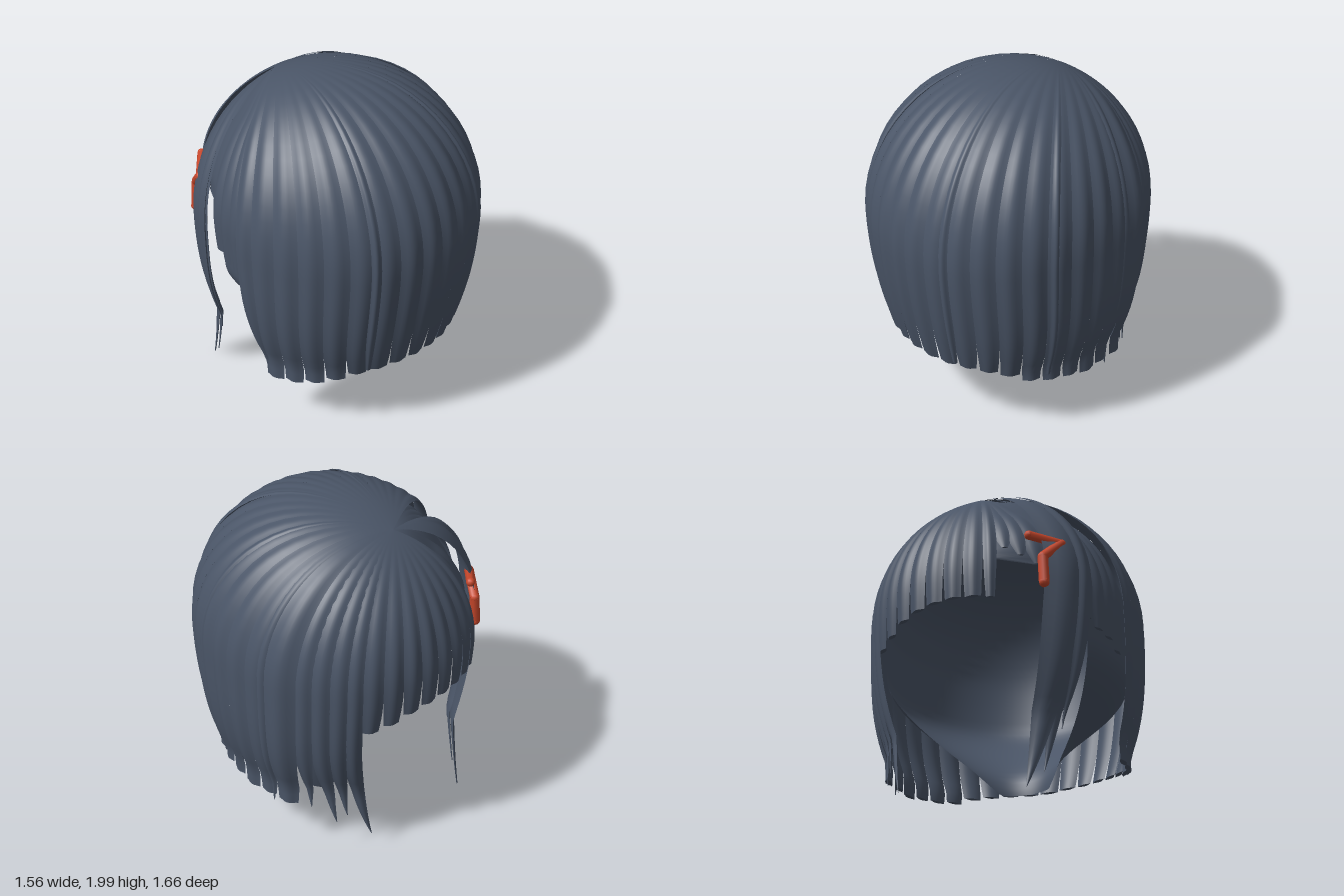
import * as THREE from 'three';
import { mergeGeometries } from 'three/addons/utils/BufferGeometryUtils.js';

const RX = 0.768, RY = 0.793, RZ = 0.818, MID = 1.2, CROWN_Z = -0.4;
const rad = THREE.MathUtils.degToRad;
const { clamp, lerp, smoothstep } = THREE.MathUtils;

let seed = 7;
const jitter = (amount) => {
  seed = (seed * 16807) % 2147483647;
  return (seed / 2147483647 - 0.5) * 2 * amount;
};

// Point on the hair shell. deg: 0 = +z, 90 = +x. s: 0 = crown, 1 = widest ring, then straight down.
function shell(deg, s, offset) {
  const a = rad(deg), p = new THREE.Vector3();
  const ex = RX * Math.sin(a), ez = RZ * Math.cos(a);
  if (s < 1) {
    const k = Math.sin(s * Math.PI / 2);
    p.set(ex * k, 0, lerp(CROWN_Z, ez, k));
    const rho = Math.hypot(p.x / RX, p.z / RZ);
    p.y = MID + RY * Math.sqrt(Math.max(0, 1 - rho ** 2.15));
  } else {
    const d = clamp((s - 1) / 0.75, 0, 1);
    p.set(ex * (1 - 0.13 * d ** 3), MID - (s - 1), ez * (1 - 0.15 * d ** 1.7));
  }
  const n = new THREE.Vector3(p.x / RX ** 2, Math.max(0, p.y - MID) / RY ** 2, p.z / RZ ** 2);
  return p.addScaledVector(n.normalize(), offset);
}

// Surface from a rule: fn(u, v) with u and v in 0..1
function grid(fn, nu, nv) {
  const pos = [], idx = [];
  for (let j = 0; j <= nv; j++) {
    for (let i = 0; i <= nu; i++) pos.push(...fn(i / nu, j / nv).toArray());
  }
  for (let j = 0; j < nv; j++) {
    for (let i = 0; i < nu; i++) {
      const a = j * (nu + 1) + i, b = a + nu + 1;
      idx.push(a, b, a + 1, a + 1, b, b + 1);
    }
  }
  const g = new THREE.BufferGeometry();
  g.setAttribute('position', new THREE.Float32BufferAttribute(pos, 3));
  g.setIndex(idx);
  g.computeVertexNormals();
  return g;
}

// Lock of hair from the crown down to height 'bottom'; its outer ripple runs smoothly into its neighbours
function lockGeometry(deg, half, bottom, o = {}) {
  const { offset = 0, bulge = 0.016, thick = 0.02, tip = 0.8, taper = 0.2, drift = 0, lift = 0, bend = 1.6 } = o;
  const end = 1 + MID - bottom;
  const at = (u, v, side) => {
    const s = v * end, q = u * 2 - 1;
    const low = clamp((s - (end - taper)) / taper, 0, 1);
    const w = half * lerp(1, tip, low ** 1.6);
    const grow = smoothstep(s, 0.1, 0.95) * lerp(1, Math.max(tip, 0.15), low);
    const round = side > 0 ? bulge * (1 - q * q) ** 2 : -thick * (1 - q * q);
    const swing = drift * clamp((s - 0.9) / (end - 0.9), 0, 1) ** bend;
    return shell(deg + q * w + swing, s, offset * smoothstep(s, 0, 0.4) + round * grow + lift * v ** 6);
  };
  return mergeGeometries([
    grid((u, v) => at(u, v, 1), 8, 30),
    grid((u, v) => at(1 - u, v, -1), 8, 30),
    grid((u, v) => at(u, 1, 1).lerp(at(u, 1, -1), v), 8, 1),
  ]);
}

export function createModel() {
  const group = new THREE.Group();
  const hair = new THREE.MeshStandardMaterial({ color: 0x4a5567, side: THREE.DoubleSide });
  hair.name = 'slate hair';
  const red = new THREE.MeshStandardMaterial({ color: 0xc8472b });
  red.name = 'orange red clip';

  const lock = (name, ...args) => {
    const mesh = new THREE.Mesh(lockGeometry(...args), hair);
    mesh.name = name;
    group.add(mesh);
  };

  // Inner lining, open at the face and narrowing to the nape
  const lining = new THREE.Mesh(grid((u, v) => {
    const s = v * 1.88;
    const y = MID - (s - 1);
    const open = lerp(180, 116, smoothstep(s, 0.8, 0.95));
    const half = lerp(open, 34, clamp((s - 1.2) / 0.68, 0, 1) ** 2.6);
    const p = shell((u * 2 - 1) * half, s, -0.06 * smoothstep(s, 0, 0.5) - 0.012);
    const m = 1 - 0.56 * smoothstep(-y, -0.92, -0.34);
    p.x *= m;
    p.z *= m;
    return p;
  }, 64, 44), hair);
  lining.name = 'lining';
  group.add(lining);

  // Bob around the back and sides, blunt ends
  for (let deg = -85; deg <= 95; deg += 10) {
    const bottom = lerp(0.48, 0.345, smoothstep(Math.abs(deg), 20, 85)) + jitter(0.012);
    lock('bobLock', deg, 5, bottom, { tip: 0.86 + jitter(0.08), taper: 0.18 + jitter(0.06) });
  }
  lock('sideWisp', -94, 4, 0.36, { tip: 0.05, taper: 0.5, drift: 5 });
  lock('sideWisp', 98, 3, 0.3, { offset: 0.004, tip: 0.05, taper: 0.35 });

  // Raised ridges between the broad sections
  for (const [deg, bottom] of [[-40, 0.47], [19, 0.5], [63, 0.42]]) {
    lock('ridgeLock', deg, 2, bottom, { offset: 0.008, bulge: 0.014, tip: 0.6, taper: 0.3 });
  }

  // Broad overlapping lock in front of the left ear
  lock('sideSweep', 106, 6.5, 0.34, { offset: 0.012, bulge: 0.028, tip: 0.75, taper: 0.4 });

  // Pointed strands framing the left side of the face: angle, half width, bottom, drift
  for (const [deg, half, bottom, drift] of [
    [115, 4, 0.32, 2], [122, 4, 0.22, 7], [129, 4, 0.27, 5], [135, 3.6, 0.11, 11],
  ]) lock('faceStrand', deg, half, bottom, { bulge: 0.015, tip: 0.04, taper: 0.5, drift, bend: 3 });
  lock('faceUnderlay', 121, 13, 0.46, { offset: -0.025, bulge: 0.01, thick: 0.01, tip: 0.35, taper: 0.35 });

  // Fringe
  for (let i = 0; i < 7; i++) {
    const deg = 142 + i * 8.4;
    const bottom = lerp(0.94, 1.06, smoothstep(deg, 138, 172)) + jitter(0.015);
    lock('fringeLock', deg, 4.2, bottom, { tip: 0.8 + jitter(0.08), taper: 0.17 + 0.025 * i });
  }
  lock('fringeLock', 199.4, 3, 1.05, { tip: 0.6, taper: 0.4 });

  // Short under layer in the parting and above the right ear
  for (const [deg, bottom] of [[206, 1.42], [213, 1.36], [220, 1.3]]) {
    lock('partingLock', deg, 5, bottom, { offset: -0.06, tip: 0.3, taper: 0.15 });
  }
  for (const [deg, bottom] of [[243, 1.04], [250, 1.0], [257, 0.98], [264, 0.93]]) {
    lock('earLock', deg, 5, bottom, { offset: -0.055, tip: 0.6, taper: 0.25 });
  }

  // Long swept lock on the right, ending in a point
  lock('longLock', 231, 9.5, 0, { offset: 0.004, bulge: 0.025, tip: 0.02, taper: 1.05, drift: -18, lift: 0.06 });
  lock('longLockWisp', 235, 6, 0.1, { offset: -0.005, tip: 0.02, taper: 0.9, drift: -14, lift: 0.04 });
  lock('longLockRoll', 238, 3.5, 0.36, { offset: 0.015, tip: 0.05, taper: 0.7, drift: -8 });

  // Bent hair clip: rods joined end to end with round corners
  const clip = new THREE.Group();
  clip.name = 'hairClip';
  const path = [[-0.42, 1.455, -0.63], [-0.565, 1.42, -0.52], [-0.495, 1.31, -0.615], [-0.505, 1.15, -0.622]]
    .map((p) => new THREE.Vector3(...p));
  path.forEach((point, i) => {
    const radius = i > 1 ? 0.029 : 0.026;
    const joint = new THREE.Mesh(new THREE.SphereGeometry(radius, 10, 8), red);
    joint.name = 'clipCorner';
    joint.position.copy(point);
    clip.add(joint);
    if (i === 0) return;
    const dir = point.clone().sub(path[i - 1]);
    const rod = new THREE.Mesh(new THREE.CylinderGeometry(radius, radius, dir.length(), 8), red);
    rod.name = 'clipRod';
    rod.position.copy(point).add(path[i - 1]).multiplyScalar(0.5);
    rod.quaternion.setFromUnitVectors(new THREE.Vector3(0, 1, 0), dir.normalize());
    clip.add(rod);
  });
  group.add(clip);

  return group;
}
